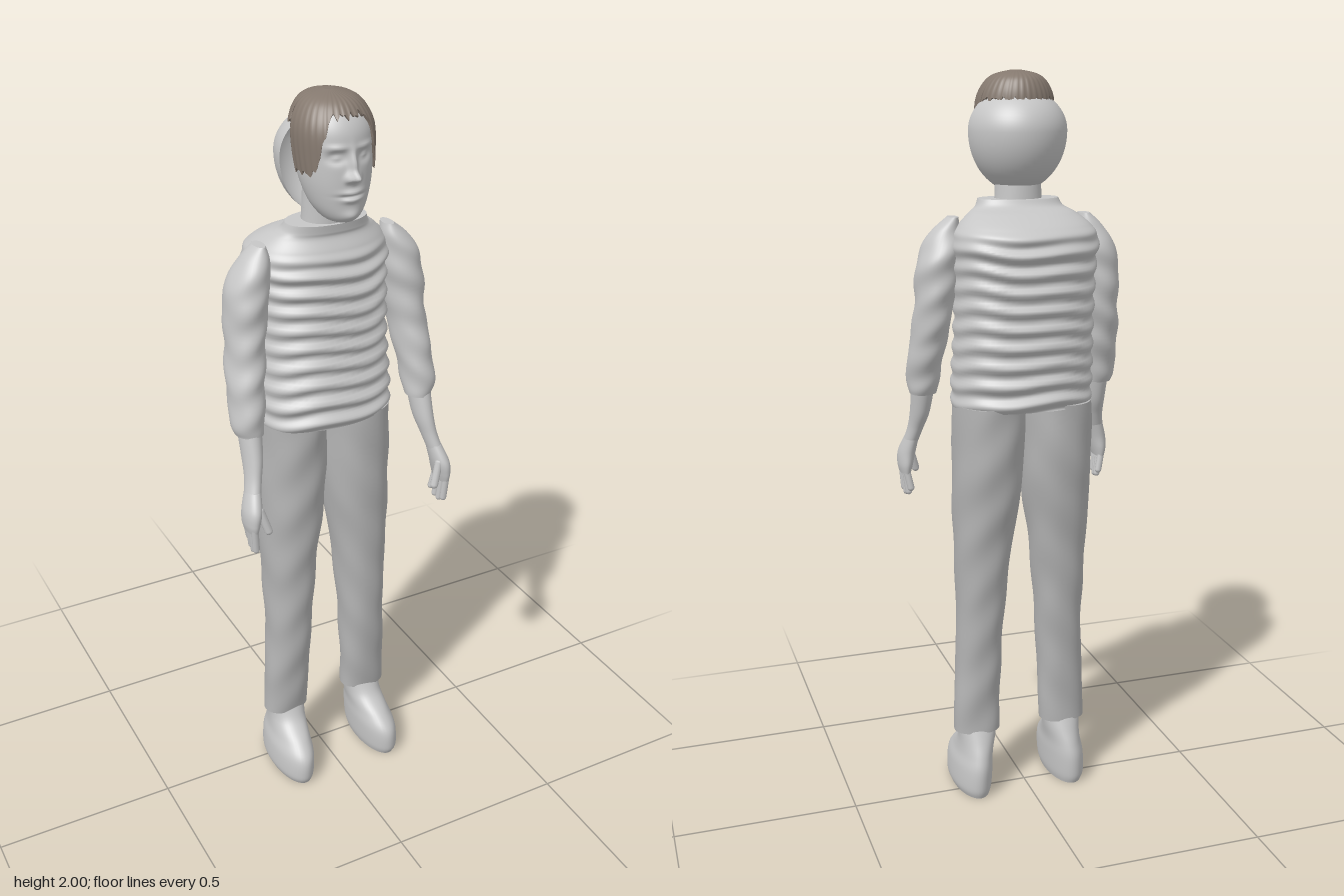
import * as THREE from 'three';

const mat = (name, color, side = THREE.FrontSide) => {
  const m = new THREE.MeshStandardMaterial({ color, side });
  m.name = name;
  return m;
};

// Smooth value of column c at position t (0..1) through the rows
function sample(rows, t, c) {
  const f = t * (rows.length - 1), i = Math.min(Math.floor(f), rows.length - 2), u = f - i;
  const p = k => rows[Math.max(0, Math.min(rows.length - 1, k))][c];
  const [a, b, d, e] = [p(i - 1), p(i), p(i + 1), p(i + 2)];
  return b + 0.5 * u * (d - a + u * (2 * a - 5 * b + 4 * d - e + u * (3 * (b - d) + e - a)));
}

// Point on a body whose rows are [y, centre x, centre z, half width, half depth]
function surfacePoint(rows, t, a, power = 2) {
  const [y, cx, cz, rx, rz] = [0, 1, 2, 3, 4].map(c => sample(rows, t, c));
  const s = Math.sin(a), c = Math.cos(a), e = 2 / power;
  return new THREE.Vector3(cx + rx * Math.sign(s) * Math.abs(s) ** e, y, cz + rz * Math.sign(c) * Math.abs(c) ** e);
}

// Closed grid from a function point(angle, t), with flat end caps
function skin(point, n, m, caps = true) {
  const pos = [], idx = [];
  for (let j = 0; j <= m; j++)
    for (let i = 0; i < n; i++) pos.push(...point((i / n) * Math.PI * 2, j / m).toArray());
  for (let j = 0; j < m; j++)
    for (let i = 0; i < n; i++) {
      const k = (i + 1) % n, a = j * n + i, b = j * n + k;
      idx.push(a, b, b + n, a, b + n, a + n);
    }
  if (caps) for (const j of [0, m]) {
    const start = pos.length / 3, mid = new THREE.Vector3();
    for (let i = 0; i < n; i++) {
      const p = point((i / n) * Math.PI * 2, j / m);
      pos.push(...p.toArray());
      mid.addScaledVector(p, 1 / n);
    }
    pos.push(...mid.toArray());
    for (let i = 0; i < n; i++) {
      const a = start + i, b = start + (i + 1) % n;
      idx.push(start + n, ...(j ? [a, b] : [b, a]));
    }
  }
  const g = new THREE.BufferGeometry();
  g.setAttribute('position', new THREE.Float32BufferAttribute(pos, 3));
  g.setIndex(idx);
  g.computeVertexNormals();
  return g;
}

// Loft through rows; tweak may move each point
const loft = (rows, { n = 32, m = 30, power = 2, tweak = p => p } = {}) =>
  skin((a, t) => tweak(surfacePoint(rows, t, a, power), a), n, m);

const mirrorRows = (rows, s) => rows.map(([y, x, ...rest]) => [y, x * s, ...rest]);

// Rounded finger between two points
function finger(from, to, r) {
  const a = new THREE.Vector3(...from), b = new THREE.Vector3(...to), d = b.clone().sub(a);
  const g = new THREE.CapsuleGeometry(r, d.length(), 4, 10);
  g.applyQuaternion(new THREE.Quaternion().setFromUnitVectors(new THREE.Vector3(0, 1, 0), d.normalize()));
  const c = a.add(b).multiplyScalar(0.5);
  return g.translate(c.x, c.y, c.z);
}

export function createModel() {
  const model = new THREE.Group();
  model.name = 'standingFigure';
  const grey = mat('light grey', 0xc6c6c6);
  const shellGrey = mat('shell grey', 0xc6c6c6, THREE.DoubleSide);
  const trouserGrey = mat('trouser grey', 0xb4b4b4);
  const brown = mat('hair brown', 0x85796f, THREE.DoubleSide);
  const add = (name, geometry, material = grey) => {
    const mesh = new THREE.Mesh(geometry, material);
    mesh.name = name;
    model.add(mesh);
  };

  // Shirt with stacked horizontal folds, strongest at chest and back
  const torso = [
    [1.14, 0, -0.01, 0.188, 0.14], [1.2, 0, -0.012, 0.19, 0.143], [1.35, 0, -0.027, 0.186, 0.14],
    [1.5, 0, -0.037, 0.187, 0.143], [1.58, 0, -0.042, 0.192, 0.146], [1.615, 0, -0.036, 0.175, 0.128],
    [1.645, 0, -0.015, 0.142, 0.092], [1.66, 0, 0.008, 0.118, 0.07], [1.68, 0, 0.018, 0.108, 0.063]];
  add('shirt', loft(torso, {
    n: 72, m: 130, power: 2.2, tweak: (p, a) => {
      const fade = THREE.MathUtils.smoothstep(1.62 - p.y, 0, 0.06);
      const wave = Math.sin(p.y * 126 + 0.9 * Math.sin(2 * a + p.y * 9) + 0.5 * Math.sin(5 * a));
      p.z += Math.cos(a) * 0.009 * fade * wave;
      p.x += Math.sin(a) * 0.003 * fade * wave;
      return p;
    }
  }));
  add('neck', loft([[1.64, 0, 0.015, 0.066, 0.056], [1.69, 0, 0.017, 0.062, 0.056], [1.76, 0, 0.02, 0.06, 0.055]]));

  // Head with sculpted face
  const head = [
    [1.697, 0, 0.095, 0.012, 0.02], [1.704, 0, 0.09, 0.036, 0.046], [1.72, 0, 0.085, 0.054, 0.064],
    [1.75, 0, 0.075, 0.072, 0.079], [1.8, 0, 0.063, 0.087, 0.094], [1.86, 0, 0.052, 0.094, 0.103],
    [1.92, 0, 0.045, 0.095, 0.105], [1.96, 0, 0.038, 0.08, 0.09], [1.983, 0, 0.034, 0.055, 0.065],
    [1.994, 0, 0.033, 0.012, 0.015]];
  const bump = (p, x, y, sx, sy, h) => h * Math.exp(-(((Math.abs(p.x) - x) / sx) ** 2) - ((p.y - y) / sy) ** 2);
  add('head', loft(head, {
    n: 144, m: 120, tweak: p => {
      if (p.z < 0.06) return p;
      const w = THREE.MathUtils.smoothstep(p.z, 0.06, 0.12);
      p.z += w * (bump(p, 0, 1.822, 0.013, 0.012, 0.03) + bump(p, 0, 1.85, 0.009, 0.03, 0.017) // nose
        + bump(p, 0.015, 1.816, 0.007, 0.008, 0.01)                                              // nostrils
        + bump(p, 0.036, 1.866, 0.02, 0.013, -0.014) + bump(p, 0.036, 1.865, 0.012, 0.007, 0.009) // eyes
        + bump(p, 0.038, 1.889, 0.024, 0.007, 0.006)                                             // brows
        + bump(p, 0, 1.782, 0.026, 0.007, 0.009) + bump(p, 0, 1.764, 0.022, 0.007, 0.009)         // lips
        + bump(p, 0, 1.773, 0.03, 0.0035, -0.008)                                                // mouth
        + bump(p, 0, 1.722, 0.022, 0.014, 0.008));                                               // chin
      return p;
    }
  }));

  // Hair cap: short at brow and back, lower at the temples
  const hairline = a => {
    const drop = THREE.MathUtils.smoothstep(Math.abs(Math.sin(a)), 0.45, 0.9);
    const jag = 0.005 * Math.sin(a * 23) + 0.004 * Math.sin(a * 41);
    return (Math.cos(a) > -0.2 ? 1.955 - 0.13 * drop : 1.925) + jag;
  };
  const rowAt = y => {
    let lo = 0, hi = 1;
    for (let k = 0; k < 18; k++) {
      const mid = (lo + hi) / 2;
      if (sample(head, mid, 0) < y) lo = mid; else hi = mid;
    }
    return lo;
  };
  add('hair', skin((a, t) => {
    const t0 = rowAt(hairline(a)), p = surfacePoint(head, t0 + (1 - t0) * t, a);
    const out = p.clone().sub(new THREE.Vector3(0, 1.87, 0.045)).normalize();
    return p.addScaledVector(out, 0.006 + 0.0012 * Math.sin(a * 36) * (1 - t));
  }, 144, 24), brown);

  // Rear half of the skull, open toward the face
  const skull = new THREE.SphereGeometry(1, 48, 32, Math.PI, Math.PI);
  const sp = skull.attributes.position;
  for (let i = 0; i < sp.count; i++) {
    const y = sp.getY(i);
    sp.setXYZ(i, sp.getX(i) * 0.13, 1.85 + y * (y > 0 ? 0.108 : 0.155), 0.03 + sp.getZ(i) * 0.14);
  }
  skull.computeVertexNormals();
  add('backOfSkull', skull, shellGrey);

  const sleeve = [
    [1.165, 0.25, 0.076, 0.037, 0.043], [1.2, 0.252, 0.071, 0.043, 0.052], [1.3, 0.243, 0.045, 0.048, 0.062],
    [1.4, 0.231, 0.022, 0.05, 0.066], [1.5, 0.222, 0.014, 0.056, 0.067], [1.56, 0.21, 0.012, 0.051, 0.062],
    [1.605, 0.195, 0.013, 0.036, 0.045], [1.637, 0.18, 0.015, 0.014, 0.028]];
  const forearm = [
    [1.02, 0.272, 0.135, 0.02, 0.03], [1.06, 0.262, 0.118, 0.021, 0.032],
    [1.11, 0.254, 0.098, 0.026, 0.039], [1.19, 0.25, 0.073, 0.031, 0.04]];
  const palm = [
    [0.925, 0.287, 0.151, 0.014, 0.036], [0.95, 0.286, 0.151, 0.02, 0.041],
    [0.985, 0.281, 0.149, 0.023, 0.04], [1.03, 0.27, 0.132, 0.019, 0.03]];
  const leg = [
    [0.185, 0.128, 0.008, 0.065, 0.047], [0.3, 0.125, 0.012, 0.065, 0.055], [0.45, 0.118, 0.013, 0.064, 0.067],
    [0.6, 0.113, 0.008, 0.069, 0.078], [0.75, 0.108, 0.002, 0.079, 0.09], [0.88, 0.1, -0.005, 0.09, 0.104],
    [1.0, 0.096, -0.012, 0.094, 0.114], [1.15, 0.094, -0.014, 0.094, 0.12]];
  const shoe = [
    [0, 0.14, 0.047, 0.049, 0.119], [0.025, 0.141, 0.048, 0.056, 0.128], [0.08, 0.138, 0.045, 0.056, 0.126],
    [0.12, 0.133, 0.031, 0.051, 0.102], [0.16, 0.128, 0.012, 0.052, 0.066], [0.2, 0.126, 0.008, 0.057, 0.044]];

  for (const [side, s] of [['left', 1], ['right', -1]]) {
    // Soft cloth creases
    const crease = (h, f) => p => {
      p.z += h * Math.sin(p.y * f + p.x * 40 * s);
      p.x += h * 0.6 * Math.sin(p.y * f * 0.8 + p.z * 35);
      return p;
    };
    add(side + 'Sleeve', loft(mirrorRows(sleeve, s), { n: 36, m: 60, tweak: crease(0.003, 75) }));
    add(side + 'Forearm', loft(mirrorRows(forearm, s)));
    add(side + 'Palm', loft(mirrorRows(palm, s)));
    // Fingers spread front to back, thumb on the inside
    [0.874, 0.866, 0.87, 0.885].forEach((tip, i) => {
      const z = 0.179 - i * 0.018;
      add(side + 'Finger' + (i + 1), finger([s * 0.288, 0.935, z], [s * (0.284 - i * 0.002), tip, z - 0.004], 0.0095));
    });
    add(side + 'Thumb', finger([s * 0.268, 0.985, 0.17], [s * 0.25, 0.925, 0.18], 0.011));
    add(side + 'TrouserLeg', loft(mirrorRows(leg, s), { n: 40, m: 60, power: 2.2, tweak: crease(0.002, 38) }), trouserGrey);
    add(side + 'Shoe', loft(mirrorRows(shoe, s), { n: 40, m: 30 }));
  }

  model.position.x = 0.012;
  return model;
}
